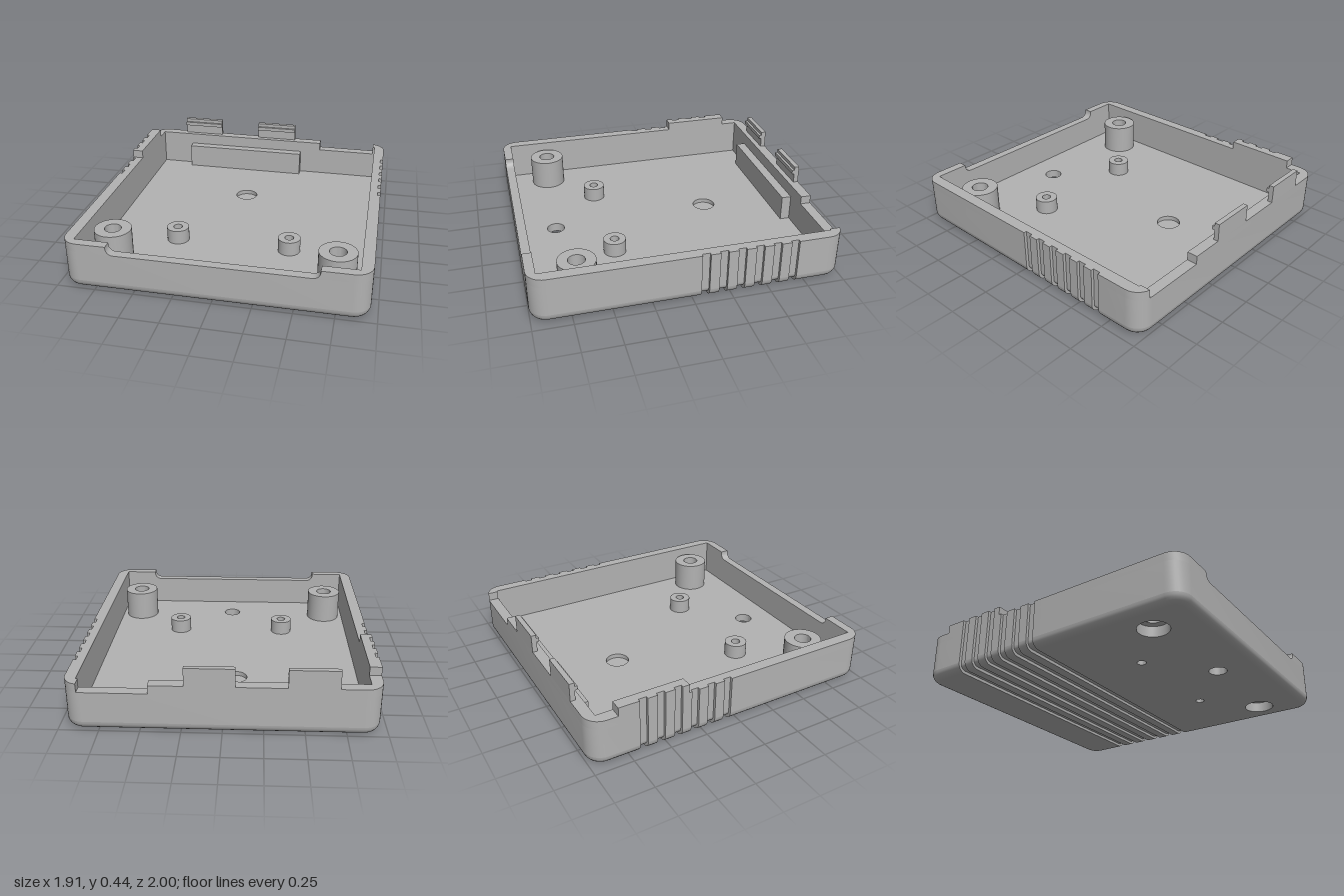
import * as THREE from 'three';
import { toCreasedNormals } from 'three/addons/utils/BufferGeometryUtils.js';

const W = 0.955, R = 0.11, FILLET = 0.06;              // half width, plan corner, bottom edge radius
const IN = { x: 0.88, front: 0.94, back: -0.93 };      // cavity limits
const FLOOR = 0.06, LEDGE = 0.262, TOP = 0.318;        // heights
const GROOVE = { start: -0.052, pitch: 0.116, width: 0.052, depth: 0.02, count: 6 };
const G_END = GROOVE.start - (GROOVE.count - 1) * GROOVE.pitch - GROOVE.width;

// stations [z, depth] along the grooved band, front to back
const stations = [];
for (let i = 0; i < GROOVE.count; i++) {
  const a = GROOVE.start - i * GROOVE.pitch, b = a - GROOVE.width;
  stations.push([a, 0], [a, GROOVE.depth], [b, GROOVE.depth], [b, 0]);
}

const bigPosts = [[-0.73, 0.68], [0.73, 0.68]];
const smallPosts = [[-0.385, 0.375], [0.385, 0.375]];
const drain = [0, 0.72], recess = [-0.06, -0.395];

// rounded corner in plan (x, z); sx, sz choose the corner; runs from the side to the end
function corner(sx, sz, inset = 0) {
  const pts = [], r = R - inset;
  for (let i = 0; i <= 8; i++) {
    const a = (i / 8) * Math.PI / 2;
    pts.push([sx * (W - R + r * Math.cos(a)), sz * (1 - R + r * Math.sin(a))]);
  }
  return pts;
}

// outer line of one long side with its grooves, front to back
const sideLine = (sx) => stations.map(([z, d]) => [sx * (W - d), z]);

const vec = (pts) => pts.map(([x, y]) => new THREE.Vector2(x, y));
function hole(shape, [x, y], r) {
  shape.holes.push(new THREE.Path().absarc(x, y, r, 0, Math.PI * 2, true));
}

// vertical prism from a plan outline of (x, z) points
function prism(pts, y0, y1, inner) {
  const flip = (p) => vec(p.map(([x, z]) => [x, -z]));
  const shape = new THREE.Shape(flip(pts));
  if (inner) shape.holes.push(new THREE.Path(flip(inner)));
  const g = new THREE.ExtrudeGeometry(shape, { depth: y1 - y0, bevelEnabled: false });
  return toCreasedNormals(g.rotateX(-Math.PI / 2).translate(0, y0, 0), 0.5);
}

// skin through rows of [x, y, z] points
function loft(rows) {
  const pos = [], idx = [], n = rows[0].length;
  rows.forEach((row) => row.forEach((p) => pos.push(...p)));
  for (let i = 0; i < rows.length - 1; i++) {
    for (let j = 0; j < n - 1; j++) {
      const a = i * n + j, b = a + n;
      idx.push(a, b, a + 1, b, b + 1, a + 1);
    }
  }
  const g = new THREE.BufferGeometry();
  g.setAttribute('position', new THREE.Float32BufferAttribute(pos, 3));
  g.setIndex(idx);
  return toCreasedNormals(g, 0.5);
}

// bottom edge curve as [inset, y]; depth d shifts it inwards for grooves
function edgeCurve(d) {
  const out = [];
  for (let i = 0; i <= 6; i++) {
    const t = (i / 6) * Math.PI / 2, r = FILLET - d;
    out.push([FILLET - r * Math.cos(t), FILLET - r * Math.sin(t)]);
  }
  return out;
}

const lathe = (pts) => toCreasedNormals(new THREE.LatheGeometry(vec(pts), 40), 0.5);

export function createModel() {
  const model = new THREE.Group();
  const grey = new THREE.MeshStandardMaterial({ color: 0xb2b2b2, side: THREE.DoubleSide });
  grey.name = 'grey';
  const add = (name, geometry, x = 0, y = 0, z = 0) => {
    const mesh = new THREE.Mesh(geometry, grey);
    mesh.name = name;
    mesh.position.set(x, y, z);
    model.add(mesh);
  };

  // lower wall ring
  const cavity = [[-IN.x, IN.back], [IN.x, IN.back], [IN.x, IN.front], [-IN.x, IN.front]];
  add('wall', prism([
    ...corner(1, 1).reverse(), ...sideLine(1), ...corner(1, -1),
    ...corner(-1, -1).reverse(), ...sideLine(-1).reverse(), ...corner(-1, 1),
  ], FLOOR, LEDGE, cavity));

  // upper rim, interrupted by the front and back cut-outs
  add('rightRim', prism([
    [0.655, IN.front], [0.655, 1], ...corner(1, 1).reverse(), ...sideLine(1),
    ...corner(1, -1).filter((p) => p[0] > 0.867), [0.867, -0.998], [0.867, IN.back],
    [IN.x, IN.back], [IN.x, IN.front],
  ], LEDGE, TOP));
  add('leftRim', prism([
    [-0.655, IN.front], [-0.655, 1], ...corner(-1, 1).reverse(), ...sideLine(-1),
    ...corner(-1, -1), [0.44, -1], [0.44, IN.back], [-IN.x, IN.back], [-IN.x, IN.front],
  ], LEDGE, TOP));

  // rounded lower corners of the front cut-out
  for (const s of [-1, 1]) {
    const pts = [[s * 0.655, LEDGE]], r = 0.045;
    for (let i = 0; i <= 6; i++) {
      const a = (i / 6) * Math.PI / 2;
      pts.push([s * (0.655 - r + r * Math.sin(a)), LEDGE + r - r * Math.cos(a)]);
    }
    const g = new THREE.ExtrudeGeometry(new THREE.Shape(vec(pts)), { depth: 1 - IN.front, bevelEnabled: false });
    add('cutoutFillet', toCreasedNormals(g, 0.5), 0, 0, IN.front);
  }

  // raised tab on one long wall
  const tabFront = -0.355, tabBack = -0.82;
  add('sideTab', prism([
    [-IN.x, tabFront], [-W, tabFront],
    ...sideLine(-1).filter((p) => p[1] < tabFront && p[1] > tabBack),
    [-W, tabBack], [-IN.x, tabBack],
  ], TOP, 0.375));

  // rounded bottom edge and flat underside at each end
  for (const [name, sz, zEnd] of [['front', 1, GROOVE.start], ['back', -1, G_END]]) {
    const ring = (inset) => [
      [W - inset, zEnd], ...corner(1, sz, inset), ...corner(-1, sz, inset).reverse(), [-W + inset, zEnd],
    ];
    const rows = edgeCurve(0).map(([inset, y]) => ring(inset).map(([x, z]) => [x, y, z]));
    add(name + 'BottomEdge', loft(sz > 0 ? rows.reverse() : rows));
    const shape = new THREE.Shape(vec(ring(FILLET)));
    if (sz > 0) {
      bigPosts.forEach((p) => hole(shape, p, 0.1));
      smallPosts.forEach((p) => hole(shape, p, 0.03));
      hole(shape, drain, 0.06);
    }
    add(name + 'Underside', new THREE.ShapeGeometry(shape, 20).rotateX(Math.PI / 2));
  }

  // grooved band wrapping under the tray
  add('groovedUnderside', loft(stations.map(([z, d]) => {
    const half = edgeCurve(d);
    return [
      ...half.map(([i, y]) => [W - i, y, z]),
      ...half.reverse().map(([i, y]) => [-W + i, y, z]),
    ];
  })));

  // inner floor
  const floor = new THREE.Shape(vec(cavity.map(([x, z]) => [x, -z])));
  const floorHole = ([x, z], r) => hole(floor, [x, -z], r);
  bigPosts.forEach((p) => floorHole(p, 0.12));
  smallPosts.forEach((p) => floorHole(p, 0.074));
  floorHole(drain, 0.06);
  floorHole(recess, 0.078);
  add('floor', new THREE.ShapeGeometry(floor, 20).rotateX(-Math.PI / 2), 0, FLOOR, 0);

  // screw posts, drain hole and shallow recess
  for (const [x, z] of bigPosts) {
    add('largePost', lathe([[0.1, 0], [0.1, 0.07], [0.055, 0.07], [0.055, 0.27], [0.122, 0.27], [0.122, FLOOR]]), x, 0, z);
  }
  for (const [x, z] of smallPosts) {
    add('smallPost', lathe([[0.03, 0], [0.03, 0.157], [0.075, 0.157], [0.075, FLOOR]]), x, 0, z);
  }
  add('drainHole', lathe([[0.06, 0], [0.06, FLOOR]]), drain[0], 0, drain[1]);
  add('recess', lathe([[0, 0.03], [0.078, 0.03], [0.078, FLOOR]]), recess[0], 0, recess[1]);

  // inner rib against the back wall
  add('backRib', new THREE.BoxGeometry(0.92, 0.175, 0.065), -0.175, FLOOR + 0.0875, -0.8975);

  // snap hooks on the back wall
  const hook = new THREE.Shape(vec([
    [1, TOP], [0.967, TOP], [0.967, 0.385], [0.95, 0.385], [0.95, 0.412], [0.967, 0.412], [0.967, 0.437], [1, 0.437],
  ]));
  for (const x of [-0.693, -0.078]) {
    const g = new THREE.ExtrudeGeometry(hook, { depth: 0.305, bevelEnabled: false });
    add('snapHook', g.rotateY(Math.PI / 2), x, 0, 0);
  }
  return model;
}
